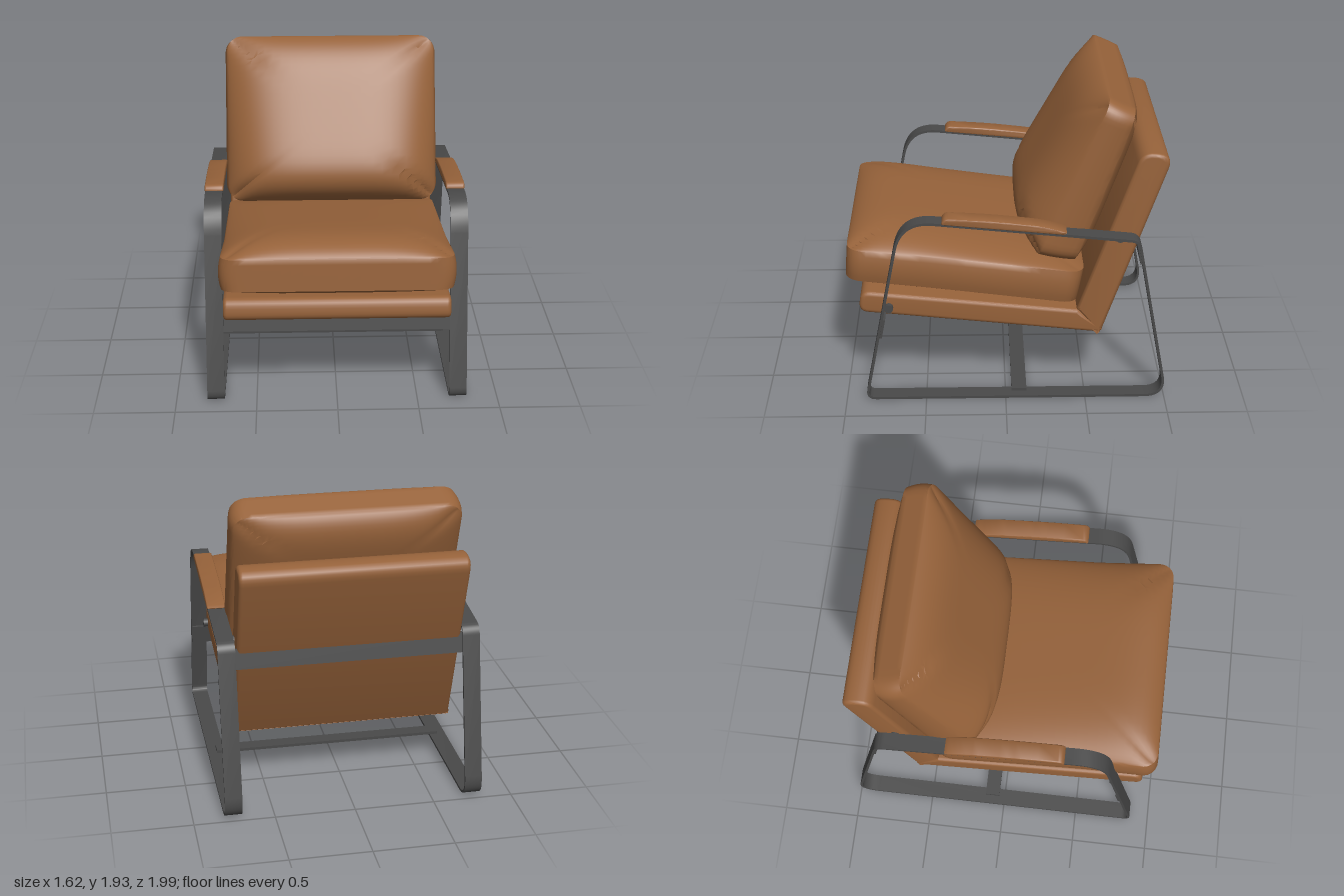
import * as THREE from 'three';
import { toCreasedNormals } from 'three/addons/utils/BufferGeometryUtils.js';

const leather = new THREE.MeshStandardMaterial({ color: 0x96623a });
leather.name = 'tan leather';
const metal = new THREE.MeshStandardMaterial({ color: 0x494949 });
metal.name = 'dark metal';

const V = (z, y) => new THREE.Vector2(z, y);

function mesh(name, geometry, material, parent) {
  const m = new THREE.Mesh(geometry, material);
  m.name = name;
  parent.add(m);
  return m;
}

// Closed outline through [z, y, trim] corners, each rounded by its trim length
function roundedPoints(corners, steps = 8) {
  const pts = [];
  corners.forEach(([z, y, trim], i) => {
    const p = V(z, y);
    const prev = corners[(i + corners.length - 1) % corners.length];
    const next = corners[(i + 1) % corners.length];
    const a = V(prev[0], prev[1]).sub(p).setLength(trim).add(p);
    const b = V(next[0], next[1]).sub(p).setLength(trim).add(p);
    pts.push(...new THREE.QuadraticBezierCurve(a, p, b).getPoints(steps));
  });
  return pts;
}

// Extrude a (z, y) side profile across x, from x0 to x1
function sideExtrude(shape, x0, x1, bevel = 0) {
  const geo = new THREE.ExtrudeGeometry(shape, {
    depth: x1 - x0 - 2 * bevel, bevelEnabled: bevel > 0, bevelSize: bevel,
    bevelThickness: bevel, bevelOffset: -bevel, bevelSegments: 4,
  });
  geo.rotateY(-Math.PI / 2);
  geo.translate(x1 - bevel, 0, 0);
  return toCreasedNormals(geo, 0.6);
}

// Boxed cushion: rounded outline, two seam edges and a dome on either face.
// F and B are the seam lines of the two faces as [start, end] points in (z, y).
function cushionGeometry({ F, B, normal, halfWidth, radius, domeF, domeB, flare }) {
  const geo = new THREE.BoxGeometry(2, 2, 2, 32, 32, 6);
  const pos = geo.attributes.position;
  const halfLen = F[0].distanceTo(F[1]) / 2;
  const n = normal.clone().normalize();
  const ease = (a) => Math.sin((a * Math.PI) / 2);
  const clamp = THREE.MathUtils.clamp;
  for (let i = 0; i < pos.count; i++) {
    const u = ease(pos.getX(i)), v = ease(pos.getY(i)), t = pos.getZ(i);
    const ring = Math.max(Math.abs(u), Math.abs(v), 1e-6);
    // round the corners of each concentric ring
    const bx = (u / ring) * halfWidth, by = (v / ring) * halfLen;
    const ix = clamp(bx, radius - halfWidth, halfWidth - radius);
    const iy = clamp(by, radius - halfLen, halfLen - radius);
    const k = radius / Math.max(Math.hypot(bx - ix, by - iy), 1e-6);
    const px = (ix + (bx - ix) * k) * ring;
    const s = ((iy + (by - iy) * k) * ring / halfLen + 1) / 2;
    const f = F[0].clone().lerp(F[1], s);
    const p = B[0].clone().lerp(B[1], s).lerp(f, (t + 1) / 2);
    const swell = Math.pow(Math.max(0, (1 - u ** 4) * (1 - v ** 6)), 0.8);
    if (t > 0.999) p.addScaledVector(n, domeF(s) * swell);
    if (t < -0.999) p.addScaledVector(n, -domeB(s) * swell);
    pos.setXYZ(i, px * (1 + 0.02 * (1 - t * t)) * flare(s), p.y, p.x);
  }
  return toCreasedNormals(geo, 0.65);
}

function bar(name, size, y, z, tilt, parent, x = 0) {
  const m = mesh(name, new THREE.BoxGeometry(...size), metal, parent);
  m.position.set(x, y, z);
  m.rotation.x = tilt;
  return m;
}

export function createModel() {
  const chair = new THREE.Group();
  chair.name = 'loungeArmchair';

  // Flat-strip side frames: one closed loop with an offset hole
  const loop = roundedPoints([
    [0.875, 0.009, 0.06], [0.635, 1.235, 0.2], [-0.81, 1.087, 0.05], [-1.012, 0.009, 0.14],
  ], 10);
  const offset = (d) => loop.map((p, i) => {
    const t = loop[(i + 1) % loop.length].clone()
      .sub(loop[(i + loop.length - 1) % loop.length]).normalize();
    return V(p.x - t.y * d, p.y + t.x * d);
  });
  const frameShape = new THREE.Shape(offset(-0.008));
  frameShape.holes.push(new THREE.Path(offset(0.008)));

  // Padded armrest profile
  const armShape = new THREE.Shape(roundedPoints([
    [0.39, 1.212, 0.012], [0.375, 1.252, 0.03], [0.1, 1.236, 0.12],
    [-0.25, 1.195, 0.1], [-0.375, 1.15, 0.015], [-0.35, 1.138, 0.01],
  ], 5));

  for (const side of [1, -1]) {
    const label = side > 0 ? 'left' : 'right';
    const x0 = side > 0 ? 0.7 : -0.807, x1 = x0 + 0.107;
    mesh(label + 'Frame', sideExtrude(frameShape, x0, x1), metal, chair);
    mesh(label + 'Armrest', sideExtrude(armShape, x0 - 0.005, x1 + 0.005, 0.01), leather, chair);
    // Bolts holding the shell and the armrests
    for (const [y, z] of [[0.6, 0.725], [1.07, -0.7]]) {
      const bolt = mesh(label + 'ShellBolt', new THREE.CylinderGeometry(0.028, 0.028, 0.05, 12), metal, chair);
      bolt.rotation.z = Math.PI / 2;
      bolt.position.set(side * 0.7, y, z);
    }
    for (const [y, z] of [[1.184, 0.24], [1.132, -0.27]]) {
      const screw = mesh(label + 'ArmScrew', new THREE.CylinderGeometry(0.016, 0.016, 0.014, 12), metal, chair);
      screw.position.set(side * 0.755, y, z);
    }
  }

  // Cross bars
  bar('frontCrossBar', [1.6, 0.13, 0.014], 0.5, 0.763, -0.19, chair);
  bar('rearCrossBar', [1.6, 0.13, 0.014], 0.995, -0.815, 0.18, chair);
  bar('floorCrossBar', [1.5, 0.018, 0.095], 0.027, -0.085, 0, chair);

  // Upholstered shell: seat slab and back slab meeting at a mitre
  const seatSlab = new THREE.Shape(roundedPoints([
    [0.915, 0.565, 0.06], [0.895, 0.705, 0.06], [-0.455, 0.56, 0.005], [-0.6, 0.4, 0.01],
  ], 6));
  mesh('seatSlab', sideExtrude(seatSlab, -0.695, 0.695, 0.024), leather, chair);
  const backSlab = new THREE.Shape(roundedPoints([
    [-0.445, 0.565, 0.005], [-0.82, 1.62, 0.08], [-1.01, 1.595, 0.09], [-0.6, 0.4, 0.015],
  ], 6));
  mesh('backSlab', sideExtrude(backSlab, -0.69, 0.69, 0.024), leather, chair);

  // Seat cushion, running front to back, with its main face up
  mesh('seatCushion', cushionGeometry({
    F: [V(0.975, 1.0), V(-0.49, 0.82)],
    B: [V(0.99, 0.8), V(-0.45, 0.61)],
    normal: V(-0.1, 1), halfWidth: 0.69, radius: 0.1,
    domeF: (s) => 0.125 - 0.075 * s,
    domeB: (s) => 0.06 - 0.03 * s,
    flare: (s) => 1 + 0.025 * Math.max(0, 1 - 3 * s),
  }), leather, chair);

  // Back cushion, running bottom to top, with its main face forward
  mesh('backCushion', cushionGeometry({
    F: [V(-0.2, 0.92), V(-0.62, 1.935)],
    B: [V(-0.42, 0.88), V(-0.775, 1.865)],
    normal: V(0.93, 0.36), halfWidth: 0.69, radius: 0.1,
    domeF: (s) => 0.255 - 0.15 * s,
    domeB: () => 0.1,
    flare: () => 1,
  }), leather, chair);

  return chair;
}
